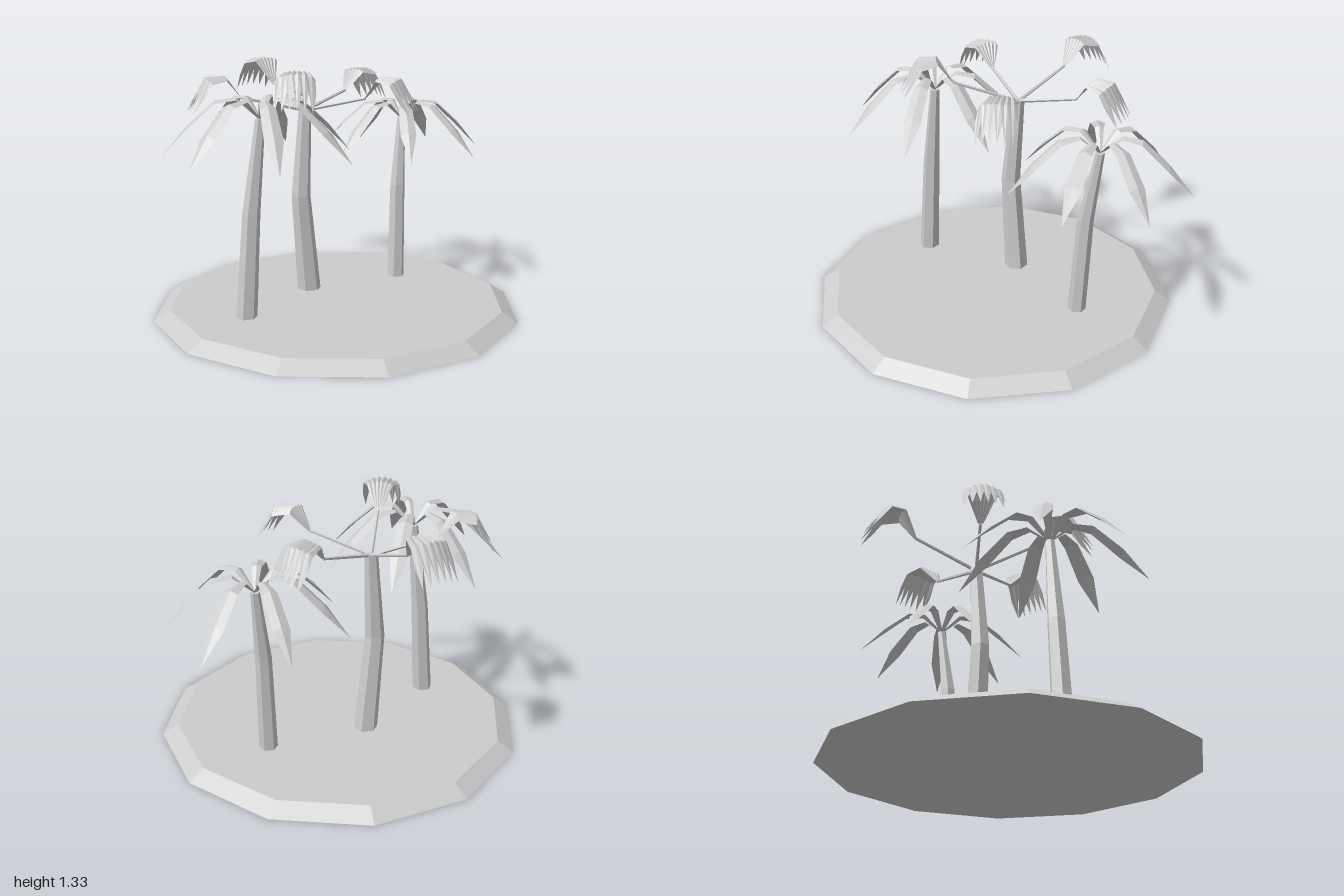
import * as THREE from 'three';

const grey = new THREE.MeshStandardMaterial({ color: 0xcccccc, side: THREE.DoubleSide });
grey.name = 'plain grey';

// Faceted mesh from a geometry
function flatMesh(geometry, name) {
  const g = geometry.index ? geometry.toNonIndexed() : geometry;
  g.computeVertexNormals();
  const mesh = new THREE.Mesh(g, grey);
  mesh.name = name;
  return mesh;
}

// Faceted surface through rows of [x, y, z] points
function sheet(rows, name) {
  const p = [];
  for (let i = 0; i < rows.length - 1; i++) {
    for (let j = 0; j < rows[i].length - 1; j++) {
      const a = rows[i][j], b = rows[i][j + 1], c = rows[i + 1][j], d = rows[i + 1][j + 1];
      p.push(...a, ...b, ...c, ...b, ...d, ...c);
    }
  }
  const g = new THREE.BufferGeometry();
  g.setAttribute('position', new THREE.Float32BufferAttribute(p, 3));
  return flatMesh(g, name);
}

// Six-sided bent trunk; rings are [x, y, z, radius]
function trunk(rings) {
  const [x, y, z] = rings[rings.length - 1];
  const rows = [...rings, [x, y, z, 0.001]].map(([cx, cy, cz, r]) => {
    const row = [];
    for (let k = 0; k <= 6; k++) {
      const a = Math.PI / 6 + (k * Math.PI) / 3;
      row.push([cx + r * Math.cos(a), cy, cz - r * Math.sin(a)]);
    }
    return row;
  });
  return sheet(rows, 'trunk');
}

// Drooping leaf, folded along its middle: [distance, height, half width]
function frond() {
  const stations = [
    [0, 0, 0.008], [0.11, 0.1, 0.024], [0.21, 0.09, 0.038],
    [0.35, -0.035, 0.044], [0.475, -0.185, 0.001],
  ];
  const rows = stations.map(([r, y, w]) => [
    [r, y - w * 0.4, -w], [r, y, 0], [r, y - w * 0.4, w],
  ]);
  return sheet(rows, 'frond');
}

// Pleated fan leaf with a hanging toothed edge
function fan(rise) {
  const cols = 12;
  const stations = [[0, 0, 0.014], [0.09, rise, 0.07], [0.19, rise - 0.005, 0.098]];
  const rows = stations.map(([r, y, w], i) => {
    const row = [];
    for (let j = 0; j <= cols; j++) {
      const t = (2 * j) / cols - 1;
      const pleat = i && j % 2 ? 0.01 : 0;
      row.push([r - i * 0.012 * t * t, y + pleat - i * 0.012 * t * t, w * t]);
    }
    return row;
  });
  // Teeth: long at the odd columns, short between them
  rows.push(rows[2].map(([x, y, z], j) =>
    j % 2 ? [x + 0.1, y - 0.175, z * 1.16] : [x + 0.045, y - 0.07, z * 1.08]));
  return sheet(rows, 'fan');
}

// Palm with seven fronds
function frondPalm(name, rings, startDegrees, scale) {
  const palm = new THREE.Group();
  palm.name = name;
  palm.add(trunk(rings));
  const [x, y, z] = rings[rings.length - 1];
  for (let i = 0; i < 7; i++) {
    const leaf = frond();
    leaf.position.set(x, y, z);
    leaf.scale.setScalar(scale);
    leaf.rotation.y = -THREE.MathUtils.degToRad(startDegrees + (i * 360) / 7);
    palm.add(leaf);
  }
  return palm;
}

// Palm with five stalks carrying fans
function fanPalm(name, rings) {
  const palm = new THREE.Group();
  palm.name = name;
  palm.add(trunk(rings));
  const [x, y, z] = rings[rings.length - 1];
  const top = new THREE.Vector3(x, y - 0.01, z);
  const high = [true, false, false, true, false];
  high.forEach((isHigh, i) => {
    const a = THREE.MathUtils.degToRad(-79 + i * 72);
    const hub = new THREE.Vector3(
      x + 0.35 * Math.cos(a), isHigh ? 1.19 : 1.15, z + 0.35 * Math.sin(a));
    const dir = hub.clone().sub(top);
    const stalk = flatMesh(new THREE.CylinderGeometry(0.008, 0.01, dir.length(), 5), 'stalk');
    stalk.position.copy(top).addScaledVector(dir, 0.5);
    stalk.quaternion.setFromUnitVectors(new THREE.Vector3(0, 1, 0), dir.normalize());
    const leaf = fan(isHigh ? 0.13 : 0.11);
    leaf.position.copy(hub);
    leaf.rotation.y = -a;
    palm.add(stalk, leaf);
  });
  return palm;
}

export function createModel() {
  const model = new THREE.Group();
  model.name = 'palmIsland';

  // Twelve-sided ground slab with sloping rim
  const island = flatMesh(new THREE.CylinderGeometry(0.91, 0.997, 0.055, 12), 'island');
  island.position.y = 0.0275;
  model.add(island);

  model.add(
    frondPalm('rightPalm', [
      [-0.56, 0.05, -0.09, 0.056], [-0.52, 0.6, -0.085, 0.047], [-0.463, 1.085, -0.07, 0.026],
    ], 16.7, 1.07),
    frondPalm('leftPalm', [
      [0.53, 0.05, -0.045, 0.05], [0.553, 0.6, -0.06, 0.043], [0.605, 0.985, -0.085, 0.024],
    ], 28, 1),
    fanPalm('middlePalm', [
      [-0.003, 0.05, -0.22, 0.066], [-0.052, 0.6, -0.228, 0.053], [-0.012, 1.08, -0.235, 0.035],
    ]),
  );
  return model;
}
